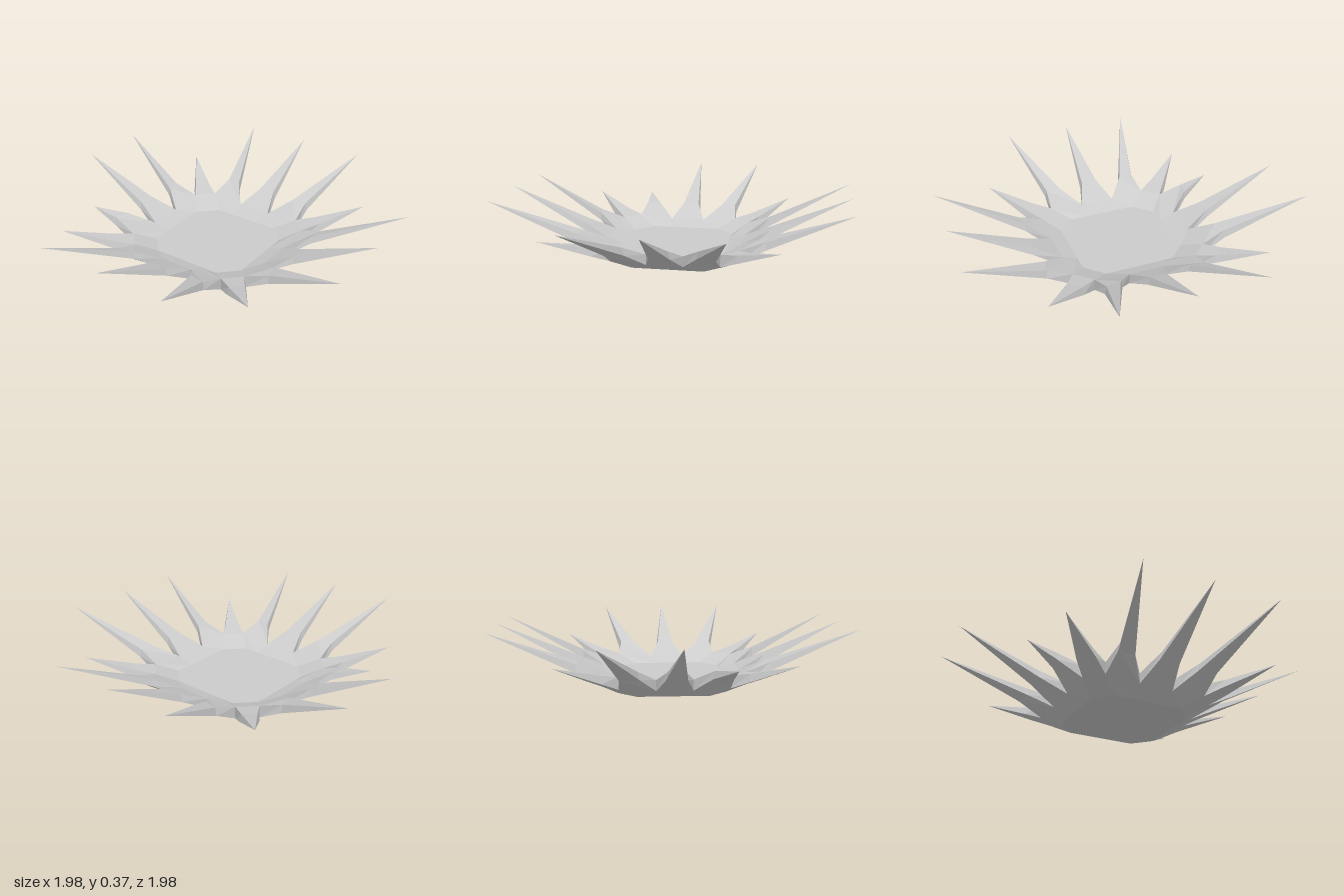
import * as THREE from 'three';

// One quarter of the rim: each spike has [x, z] base, valley and shoulder pairs, and a tip [x, y, z].
const SPIKES = [
  { base: [[-0.2, 0.3], [-0.1, 0.3]], valley: [[-0.3, 0.39], [-0.1, 0.39]], shoulder: [[-0.285, 0.53], [-0.2, 0.515]], tip: [-0.395, 0.37, 0.99] },
  { base: [[-0.1, 0.3], [0.1, 0.3]], valley: [[-0.1, 0.39], [0.1, 0.39]], shoulder: [[-0.047, 0.54], [0.047, 0.54]], tip: [0, 0.37, 0.99] },
  { base: [[0.1, 0.3], [0.2, 0.3]], valley: [[0.1, 0.39], [0.3, 0.39]], shoulder: [[0.2, 0.515], [0.285, 0.53]], tip: [0.395, 0.37, 0.99] },
  { base: [[0.2, 0.3], [0.3, 0.2]], valley: [[0.3, 0.39], [0.39, 0.3]], shoulder: [[0.395, 0.455], [0.455, 0.395]], tip: [0.625, 0.22, 0.625], corner: true },
];
const SHORT_TIP = [0.295, 0.21, 0.7];

// Quarter turns that carry the front side to the right, back and left
function turn([x, y, z], k) {
  for (let i = 0; i < k; i++) [x, z] = [z, -x];
  return [x, y, z];
}

function addFace(list, ...p) {
  for (let i = 1; i < p.length - 1; i++) list.push(...p[0], ...p[i], ...p[i + 1]);
}

function makeMesh(name, list) {
  const geo = new THREE.BufferGeometry();
  geo.setAttribute('position', new THREE.Float32BufferAttribute(list, 3));
  geo.computeVertexNormals();
  const mesh = new THREE.Mesh(geo, new THREE.MeshStandardMaterial({ color: 0xcccccc, flatShading: true }));
  mesh.name = name;
  return mesh;
}

// Corner points of one spike on the upper or lower skin
function skin(s, k, upper, tip) {
  const at = (y) => ([x, z]) => turn([x, y, z], k);
  const valleyY = ([x]) => (Math.abs(x) < 0.2 ? (upper ? 0.11 : 0.05) : (upper ? 0.13 : 0.06));
  const shoulderY = s.corner ? (upper ? 0.15 : 0.105) : (upper ? 0.18 : 0.135);
  const [A, B] = s.base.map(at(upper ? 0.08 : 0));
  const [VA, VB] = s.valley.map((v) => at(valleyY(v))(v));
  // the lower skin is slightly wider at the shoulders
  const [a, b] = s.shoulder, w = upper ? 0 : 0.12;
  const wide = [
    [a[0] + (a[0] - b[0]) * w, a[1] + (a[1] - b[1]) * w],
    [b[0] + (b[0] - a[0]) * w, b[1] + (b[1] - a[1]) * w],
  ];
  const [SA, SB] = wide.map(at(shoulderY));
  return { A, B, VA, VB, SA, SB, T: turn(tip, k) };
}

export function createModel() {
  const inner = [], outer = [], edges = [];
  for (let k = 0; k < 4; k++) {
    SPIKES.forEach((s, i) => {
      const tip = k === 3 && i === 2 ? SHORT_TIP : s.tip;
      const u = skin(s, k, true, tip), l = skin(s, k, false, tip);
      // inner face: floor wedge, slope and spike
      addFace(inner, [0, 0.08, 0], u.A, u.B);
      addFace(inner, u.A, u.VA, u.VB, u.B);
      addFace(inner, u.VA, u.SA, u.SB, u.VB);
      addFace(inner, u.SA, u.T, u.SB);
      // outer face: the same, facing down
      addFace(outer, [0, 0, 0], l.B, l.A);
      addFace(outer, l.B, l.VB, l.VA, l.A);
      addFace(outer, l.VB, l.SB, l.SA, l.VA);
      addFace(outer, l.SB, l.T, l.SA);
      // edges joining both skins
      addFace(edges, l.VA, l.SA, u.SA, u.VA);
      addFace(edges, l.SA, l.T, u.SA);
      addFace(edges, l.T, l.SB, u.SB);
      addFace(edges, l.SB, l.VB, u.VB, u.SB);
    });
  }
  const group = new THREE.Group();
  group.name = 'spikyDish';
  group.add(makeMesh('innerFace', inner), makeMesh('outerFace', outer), makeMesh('spikeEdges', edges));
  return group;
}
